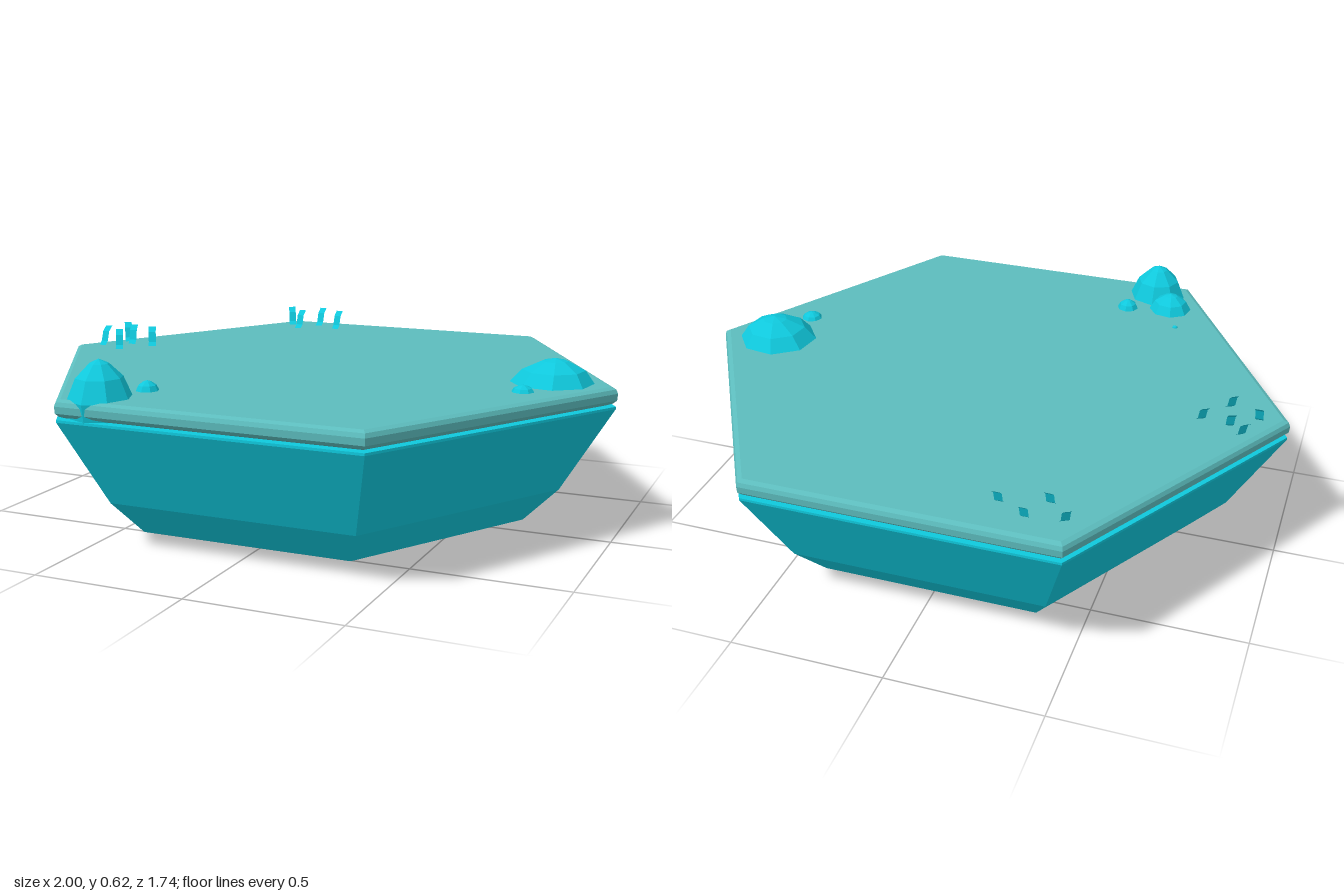
import * as THREE from 'three';

const TOP = 0.505; // height of the walking surface

export function createModel() {
  const model = new THREE.Group();
  const cyan = new THREE.MeshStandardMaterial({ color: 0x0fc8dc, flatShading: true });
  cyan.name = 'brightCyan';
  const teal = new THREE.MeshStandardMaterial({ color: 0x5cbcbd, flatShading: true });
  teal.name = 'softTeal';
  const cyanThin = new THREE.MeshStandardMaterial({ color: 0x0fc8dc, flatShading: true, side: THREE.DoubleSide });
  cyanThin.name = 'bladeCyan';

  const add = (name, geometry, material, parent = model) => {
    const mesh = new THREE.Mesh(geometry, material);
    mesh.name = name;
    parent.add(mesh);
    return mesh;
  };
  // Profile of [radius, height] pairs, bottom to top, swept round n sides
  const turned = (profile, n, start = 0) =>
    new THREE.LatheGeometry(profile.map(([r, y]) => new THREE.Vector2(r, y)), n, start);

  // Hexagonal base with points at +x and -x, tapering to the ground
  add('base', turned([
    [0, 0], [0.55, 0], [0.71, 0.04], [0.825, 0.155], [0.995, 0.435], [0.995, 0.443], [0, 0.45],
  ], 6, Math.PI / 6), cyan);

  // Bevelled slab on top, with a shallow groove above the base
  add('topSlab', turned([
    [0, 0.445], [0.965, 0.445], [0.985, 0.452], [0.998, 0.463], [1, 0.485], [0.994, 0.498], [0.978, TOP], [0, TOP],
  ], 6, Math.PI / 6), teal);

  // Faceted boulders, partly sunk into the slab
  const boulders = new THREE.Group();
  boulders.name = 'boulders';
  model.add(boulders);
  const boulder = (name, x, z, r, h, tipX = 0, sides = 8, start = 0) => {
    const geo = turned([
      [0, -0.066], [r * 0.9, -0.066], [r, -0.006], [r * 0.72, h * 0.52], [r * 0.3, h * 0.88], [0, h],
    ], sides, start);
    const p = geo.attributes.position;
    for (let i = 0; i < p.count; i++) // lean the upper part sideways
      p.setX(i, p.getX(i) + tipX * Math.max(0, p.getY(i) / h));
    add(name, geo, cyan, boulders).position.set(x, TOP, z);
  };
  boulder('leftBoulder', 0.79, 0.005, 0.138, 0.08, 0.01, 8, 0.25);
  boulder('leftPebble', 0.745, 0.183, 0.04, 0.022);
  boulder('frontBoulder', -0.4, 0.77, 0.102, 0.117);
  boulder('middleBoulder', -0.47, 0.665, 0.078, 0.06, 0, 8, 0.2);
  boulder('frontPebble', -0.32, 0.628, 0.04, 0.032);
  boulder('tinyPebble', -0.518, 0.522, 0.012, 0.008, 0, 6);

  // Curved grass blades leaning towards the back: [x, z, turn]
  const grass = new THREE.Group();
  grass.name = 'grass';
  model.add(grass);
  const bladeGeo = new THREE.PlaneGeometry(0.026, 1, 1, 4);
  const bp = bladeGeo.attributes.position;
  for (let i = 0; i < bp.count; i++) {
    const t = bp.getY(i) + 0.5;
    bp.setY(i, t * 0.07 - 0.005);
    bp.setZ(i, 0.028 - 0.056 * t - 0.008 * Math.sin(t * Math.PI * 2));
  }
  bladeGeo.computeVertexNormals();
  [
    [-0.48, -0.77, 0.5], [-0.363, -0.788, 0], [-0.27, -0.737, 0], [-0.413, -0.697, 0],
    [-0.87, -0.15, 0.6], [-0.825, -0.108, 0.3], [-0.905, -0.045, 0], [-0.735, -0.095, 0.5], [-0.81, 0.01, 0.5],
  ].forEach(([x, z, turn], i) => {
    const blade = add('grassBlade' + (i + 1), bladeGeo, cyanThin, grass);
    blade.position.set(x, TOP, z);
    blade.rotation.y = turn;
  });

  return model;
}
